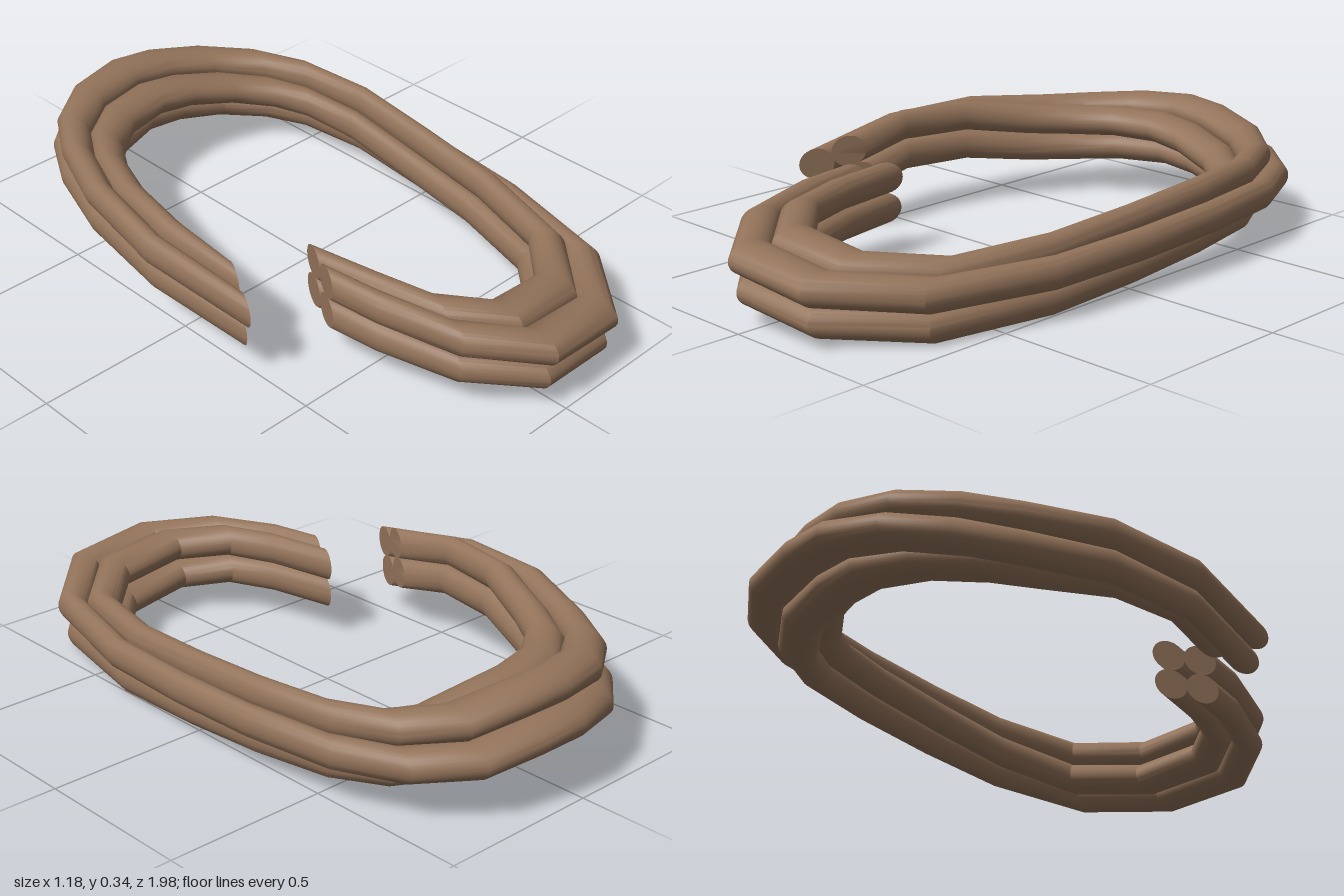
import * as THREE from 'three';
import { toCreasedNormals } from 'three/addons/utils/BufferGeometryUtils.js';

// Bundle centre line: x, y, z and twist of the bundle in degrees
const PATH = [
  [-0.27, 0.18, 0.31, 48], [-0.24, 0.178, 0.5, 45], [-0.18, 0.165, 0.70, 40],
  [-0.035, 0.142, 0.84, 36], [0.21, 0.115, 0.825, 34], [0.395, 0.098, 0.63, 30],
  [0.475, 0.108, 0.30, 18], [0.495, 0.128, 0, 9], [0.505, 0.152, -0.28, 2],
  [0.475, 0.16, -0.52, -4], [0.405, 0.165, -0.67, -9], [0.28, 0.18, -0.78, -13],
  [0.12, 0.21, -0.82, -17], [-0.01, 0.22, -0.83, -20], [-0.17, 0.213, -0.79, -27],
  [-0.30, 0.205, -0.69, -34], [-0.385, 0.21, -0.55, -40], [-0.48, 0.235, -0.32, -50],
  [-0.525, 0.23, -0.05, -59], [-0.50, 0.19, 0.22, -65],
];
const SX = 0.7, SZ = 1.5;          // the round coil is squeezed in x and stretched in z
const STRAND_R = 0.048, BUNDLE_R = 0.066, SIDES = 32;
const END_CUT = [-0.72, 0.7];      // slanted cut at both open ends

// Horizontal outward direction of every section, before the stretch
function outward(i) {
  const last = PATH.length - 1;
  if (i === 0 || i === last) return END_CUT;
  const dir = (a, b) =>
    new THREE.Vector2((b[0] - a[0]) / SX, (b[2] - a[2]) / SZ).normalize();
  const t = dir(PATH[i - 1], PATH[i]).add(dir(PATH[i], PATH[i + 1])).normalize();
  return [-t.y, t.x];
}

// One strand: rings swept along the twisted path, with a flat cap at each end
function strandGeometry(k) {
  const pos = [], index = [], rings = PATH.length;
  const put = (p, n, a, b) => pos.push(p[0] + n[0] * a * SX, p[1] + b, p[2] + n[1] * a * SZ);
  PATH.forEach((p, i) => {
    const n = outward(i);
    const twist = THREE.MathUtils.degToRad(p[3] + 90 * k);
    const ca = BUNDLE_R * Math.cos(twist), cb = BUNDLE_R * Math.sin(twist);
    for (let j = 0; j < SIDES; j++) {
      const phi = (j / SIDES) * Math.PI * 2;
      put(p, n, ca + STRAND_R * Math.cos(phi), cb + STRAND_R * Math.sin(phi));
    }
  });
  for (let i = 0; i < rings - 1; i++) {
    for (let j = 0; j < SIDES; j++) {
      const j2 = (j + 1) % SIDES;
      const a = i * SIDES + j, b = a + SIDES, c = (i + 1) * SIDES + j2, d = i * SIDES + j2;
      index.push(a, b, c, a, c, d);
    }
  }
  const end = (rings - 1) * SIDES;
  for (let j = 1; j < SIDES - 1; j++) {
    index.push(0, j, j + 1);
    index.push(end, end + j + 1, end + j);
  }
  const geo = new THREE.BufferGeometry();
  geo.setAttribute('position', new THREE.Float32BufferAttribute(pos, 3));
  geo.setIndex(index);
  return toCreasedNormals(geo, 0.5);
}

export function createModel() {
  const model = new THREE.Group();
  model.name = 'openCoil';
  const material = new THREE.MeshStandardMaterial({ color: 0x93735a });
  // Four strands lying around the common centre line
  for (let k = 0; k < 4; k++) {
    const strand = new THREE.Mesh(strandGeometry(k), material);
    strand.name = `strand${k + 1}`;
    model.add(strand);
  }
  // Stand on the ground, centred
  const box = new THREE.Box3().setFromObject(model);
  const c = box.getCenter(new THREE.Vector3());
  model.children.forEach((m) => m.geometry.translate(-c.x, -box.min.y, -c.z));
  return model;
}
